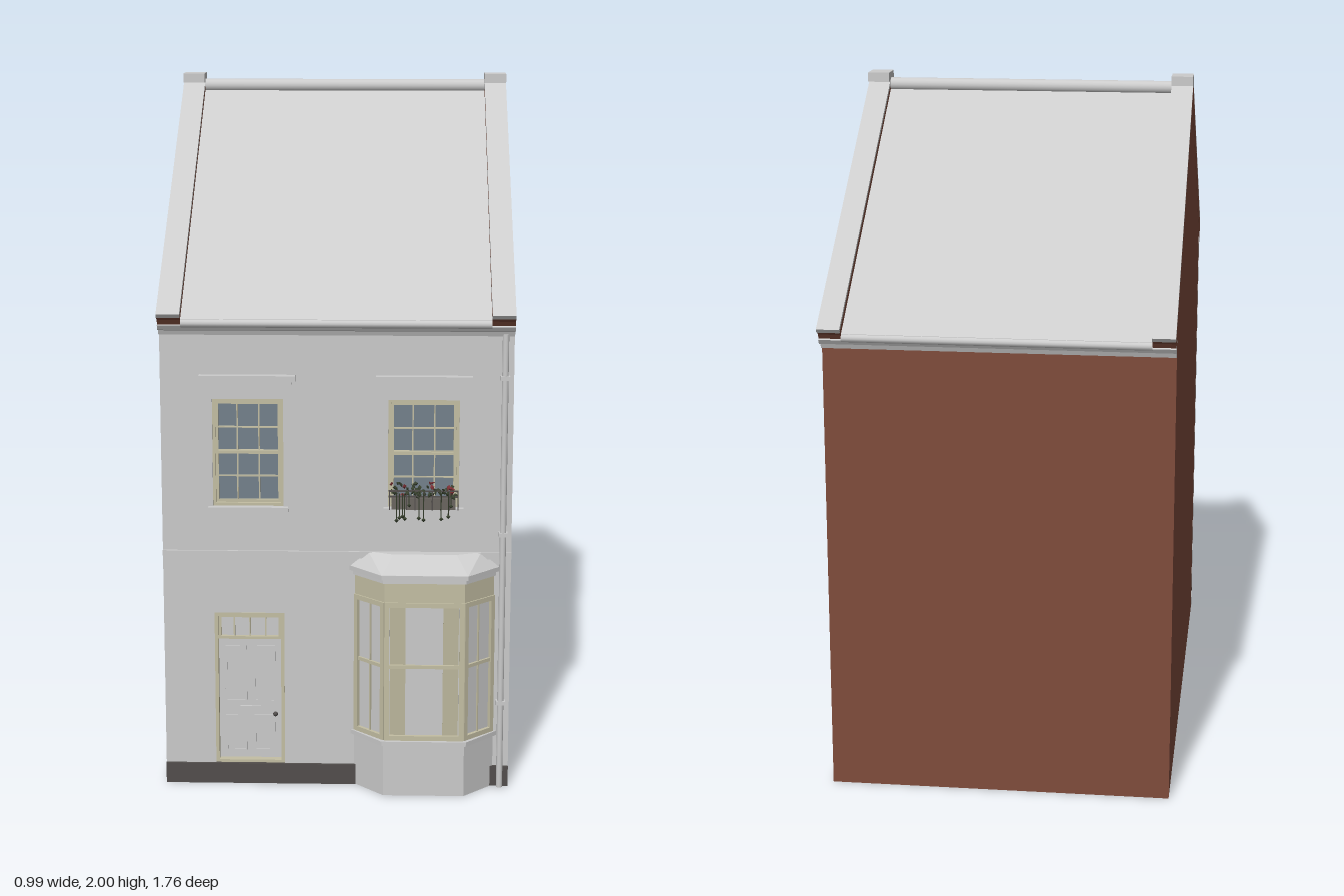
import * as THREE from 'three';
import { ConvexGeometry } from 'three/addons/geometries/ConvexGeometry.js';

const GREY = 0xcccccc, BRICK = 0x7f4c3c, CREAM = 0xc4bfa4, GLASS = 0x74818c, DARK = 0x524e4c;
const MID = -0.0125, FRONT = 0.78, BACK = -0.805, W = 0.495, INNER = 0.43;

const materials = {};
const mat = (color) => (materials[color] ??= new THREE.MeshStandardMaterial({ color, side: THREE.DoubleSide }));

function add(parent, name, geo, color = GREY) {
  const m = new THREE.Mesh(geo, mat(color));
  m.name = name;
  parent.add(m);
  return m;
}
function box(parent, name, color, x0, x1, y0, y1, z0, z1) {
  const m = add(parent, name, new THREE.BoxGeometry(x1 - x0, y1 - y0, z1 - z0), color);
  m.position.set((x0 + x1) / 2, (y0 + y1) / 2, (z0 + z1) / 2);
  return m;
}
const shapeOf = (pts) => new THREE.Shape(pts.map(([a, b]) => new THREE.Vector2(a, b)));
const rect = (Kind, x0, x1, y0, y1) =>
  new Kind([[x0, y0], [x1, y0], [x1, y1], [x0, y1]].map(([a, b]) => new THREE.Vector2(a, b)));
// (z, y) profile swept along x
function alongX(pts, x0, x1) {
  const g = new THREE.ExtrudeGeometry(shapeOf(pts), { depth: x1 - x0, bevelEnabled: false });
  return g.rotateY(-Math.PI / 2).translate(x1, 0, 0);
}
// (x, z) plan raised along y
function raised(plan, y0, y1) {
  const g = new THREE.ExtrudeGeometry(shapeOf(plan.map(([x, z]) => [x, -z])), { depth: y1 - y0, bevelEnabled: false });
  return g.rotateX(-Math.PI / 2).translate(0, y0, 0);
}
const flip = (pts) => pts.map(([z, y]) => [2 * MID - z, y]);
// front half of a profile plus its mirror image about the ridge
const symmetric = (pts) => [...pts, ...flip(pts).reverse()];

function walls(g) {
  // front wall with openings for the door and upper windows
  const wall = rect(THREE.Shape, -W, W, 0, 1.36);
  for (const [x0, x1, y0, y1] of [[-0.35, -0.15, 0.83, 1.14], [0.145, 0.345, 0.83, 1.14], [-0.35, -0.15, 0.06, 0.515]])
    wall.holes.push(rect(THREE.Path, x0, x1, y0, y1));
  add(g, 'frontWall', new THREE.ExtrudeGeometry(wall, { depth: 0.03, bevelEnabled: false }).translate(0, 0, FRONT - 0.03));
  add(g, 'backWall', new THREE.PlaneGeometry(2 * W, 1.36).rotateY(Math.PI).translate(0, 0.68, BACK), BRICK);
  const gable = shapeOf([[FRONT, 0], [FRONT, 1.37], [MID, 1.93], [BACK, 1.37], [BACK, 0]]);
  for (const s of [-1, 1])
    add(g, 'gableWall', new THREE.ShapeGeometry(gable).rotateY(-Math.PI / 2).translate(s * (W - 0.0005), 0, 0), BRICK);
  box(g, 'stringCourse', GREY, -W, W, 0.68, 0.7, FRONT, FRONT + 0.006);
  box(g, 'plinth', DARK, -W, 0.055, 0, 0.06, FRONT, FRONT + 0.008);
  box(g, 'plinthEnd', DARK, 0.435, W, 0, 0.06, FRONT, FRONT + 0.008);
}

function roof(g) {
  const slab = [[0.83, 1.375], [MID, 1.957], [2 * MID - 0.83, 1.375], [2 * MID - 0.83, 1.36], [MID, 1.94], [0.83, 1.36]];
  add(g, 'roofSlopes', alongX(slab, -INNER, INNER));
  const ridge = add(g, 'ridgeTile', new THREE.CylinderGeometry(0.02, 0.02, 2 * INNER, 16).rotateZ(Math.PI / 2));
  ridge.position.set(0, 1.962, MID);
  // brick parapets, coping and cap stones
  const parapet = symmetric([[MID + 0.001, 1.9], [FRONT, 1.345], [0.815, 1.35], [0.83, 1.372], [0.847, 1.385], [MID + 0.001, 1.975]]
    .reverse()).slice();
  const coping = [[0.855, 1.392], [MID, 1.986], [2 * MID - 0.855, 1.392], [2 * MID - 0.847, 1.381], [MID, 1.973], [0.847, 1.381]];
  for (const x0 of [-W, INNER]) {
    const x1 = x0 + W - INNER;
    add(g, 'parapet', alongX(parapet, x0, x1), BRICK);
    add(g, 'coping', alongX(coping, x0, x1));
    box(g, 'capStone', GREY, x0, x1, 1.972, 2, MID - 0.04, MID + 0.04);
  }
  // cornices and gutters at both eaves
  const cornice = [[FRONT, 1.325], [0.795, 1.325], [0.8, 1.338], [0.82, 1.343], [0.828, 1.356], [FRONT, 1.372]];
  for (const side of [cornice, flip(cornice)]) add(g, 'cornice', alongX(side, -W, W));
  for (const z of [0.825, 2 * MID - 0.825]) {
    const gutter = add(g, 'gutter', new THREE.CylinderGeometry(0.012, 0.012, 2 * INNER, 12).rotateZ(Math.PI / 2));
    gutter.position.set(0, 1.363, z);
  }
}

// frame around a rectangle, with evenly spaced glazing bars
function frame(p, name, x0, x1, y0, y1, z, t, cols = 1, rows = 1, depth = 0.012, color = CREAM) {
  box(p, name, color, x0, x0 + t, y0, y1, z, z + depth);
  box(p, name, color, x1 - t, x1, y0, y1, z, z + depth);
  box(p, name, color, x0 + t, x1 - t, y0, y0 + t, z, z + depth);
  box(p, name, color, x0 + t, x1 - t, y1 - t, y1, z, z + depth);
  const b = 0.002;
  for (let i = 1; i < cols; i++) {
    const x = x0 + ((x1 - x0) * i) / cols;
    box(p, 'glazingBar', color, x - b, x + b, y0 + t, y1 - t, z, z + depth * 0.6);
  }
  for (let i = 1; i < rows; i++) {
    const y = y0 + ((y1 - y0) * i) / rows;
    box(p, 'glazingBar', color, x0 + t, x1 - t, y - b, y + b, z, z + depth * 0.6);
  }
}

function upperWindow(cx) {
  const g = new THREE.Group();
  g.name = 'sashWindow';
  box(g, 'glass', GLASS, -0.1, 0.1, 0.83, 1.14, 0.752, 0.756);
  frame(g, 'windowFrame', -0.1, 0.1, 0.83, 1.14, 0.756, 0.008, 1, 1, 0.018);
  frame(g, 'upperSash', -0.092, 0.092, 0.98, 1.132, 0.758, 0.008, 3, 2);
  frame(g, 'lowerSash', -0.092, 0.092, 0.838, 0.99, 0.756, 0.008, 3, 2, 0.008);
  box(g, 'windowSill', GREY, -0.113, 0.113, 0.814, 0.83, 0.755, 0.796);
  box(g, 'hood', GREY, -0.135, 0.135, 1.193, 1.21, FRONT, 0.802);
  box(g, 'hoodMoulding', GREY, -0.125, 0.125, 1.183, 1.193, FRONT, 0.792);
  for (const s of [-1, 1]) box(g, 'hoodBracket', GREY, s * 0.117 - 0.006, s * 0.117 + 0.006, 1.16, 1.183, FRONT, 0.79);
  g.position.x = cx;
  return g;
}

function flowerBox() {
  const g = new THREE.Group();
  g.name = 'flowerBox';
  box(g, 'trough', 0x6a6660, -0.09, 0.09, 0.835, 0.868, 0.795, 0.825);
  for (const y of [0.872, 0.888]) box(g, 'rail', DARK, -0.098, 0.098, y, y + 0.004, 0.826, 0.83);
  for (let i = 0; i < 9; i++) box(g, 'railBar', DARK, -0.097 + i * 0.024, -0.094 + i * 0.024, 0.835, 0.89, 0.826, 0.83);
  // foliage, blossoms and trailing stems
  let seed = 7;
  const rnd = () => (seed = (seed * 16807) % 2147483647) / 2147483647;
  const leaf = new THREE.OctahedronGeometry(0.009), stem = new THREE.CylinderGeometry(0.0015, 0.0015, 1, 5);
  for (let i = 0; i < 60; i++) {
    const m = add(g, i % 4 ? 'leaf' : 'blossom', leaf, i % 4 ? 0x39422f : 0x7c2f33);
    m.position.set((rnd() - 0.5) * 0.18, 0.872 + rnd() * 0.036, 0.795 + rnd() * 0.045);
    m.rotation.set(rnd() * 3, rnd() * 3, rnd() * 3);
    m.scale.set(1, 0.4, 0.7);
  }
  for (let i = 0; i < 10; i++) {
    const len = 0.03 + rnd() * 0.05, x = (rnd() - 0.5) * 0.17;
    const m = add(g, 'trailingStem', stem, 0x39422f);
    m.scale.y = len;
    m.position.set(x, 0.885 - len / 2, 0.836);
    const l = add(g, 'trailingLeaf', leaf, 0x39422f);
    l.scale.set(0.7, 0.7, 0.5);
    l.position.set(x, 0.885 - len, 0.837);
  }
  g.position.x = 0.245;
  return g;
}

function door() {
  const g = new THREE.Group();
  g.name = 'frontDoor';
  box(g, 'doorLeaf', GREY, -0.09, 0.09, 0.06, 0.43, 0.752, 0.76);
  box(g, 'fanlightPane', GREY, -0.09, 0.09, 0.43, 0.51, 0.752, 0.756);
  frame(g, 'doorFrame', -0.1, 0.1, 0.06, 0.515, 0.754, 0.01, 1, 1, 0.028);
  frame(g, 'fanlight', -0.09, 0.09, 0.432, 0.505, 0.756, 0.008, 4);
  for (const x of [-0.072, 0.01]) for (const [y0, y1] of [[0.09, 0.2], [0.24, 0.41]])
    frame(g, 'doorPanel', x, x + 0.062, y0, y1, 0.76, 0.005, 1, 1, 0.003, GREY);
  box(g, 'letterPlate', GREY, -0.03, 0.03, 0.215, 0.228, 0.76, 0.766);
  add(g, 'doorKnob', new THREE.SphereGeometry(0.007, 12, 8), DARK).position.set(0.072, 0.205, 0.767);
  box(g, 'doorStep', DARK, -0.1, 0.1, 0.03, 0.062, 0.75, FRONT + 0.012);
  g.position.x = -0.25;
  return g;
}

function bayWindow() {
  const g = new THREE.Group();
  g.name = 'bayWindow';
  // plan grown outwards by o
  const plan = (o) => [[-0.2 - o, FRONT], [-0.115 - o * 0.5, 0.867 + o], [0.115 + o * 0.5, 0.867 + o], [0.2 + o, FRONT]];
  add(g, 'bayBase', raised(plan(0), 0, 0.155));
  add(g, 'baySill', raised(plan(0.01), 0.153, 0.166));
  add(g, 'bayGlass', raised(plan(-0.01), 0.166, 0.64));
  add(g, 'bayFascia', raised(plan(0.003), 0.632, 0.645));
  add(g, 'bayCornice', raised(plan(0.013), 0.645, 0.658));
  const top = [[-0.16, FRONT], [-0.09, 0.81], [0.09, 0.81], [0.16, FRONT]];
  add(g, 'bayRoof', new ConvexGeometry([
    ...plan(0.012).map(([x, z]) => new THREE.Vector3(x, 0.657, z)),
    ...top.map(([x, z]) => new THREE.Vector3(x, 0.7, z))]));
  // glazed faces: centre x, centre z, half width, turn
  for (const [x, z, h, turn] of [[0, 0.867, 0.113, 0], [-0.1575, 0.8235, 0.06, -0.774], [0.1575, 0.8235, 0.06, 0.774]]) {
    const f = new THREE.Group();
    f.name = 'bayFace';
    frame(f, 'bayFrame', -h, h, 0.166, 0.575, -0.012, 0.014, turn ? 2 : 1, 1, 0.013);
    box(f, 'meetingRail', CREAM, -h + 0.014, h - 0.014, 0.38, 0.39, -0.012, -0.002);
    box(f, 'transomPanel', CREAM, -h, h, 0.575, 0.634, -0.012, -0.003);
    if (!turn) for (const s of [-1, 1])
      box(f, 'curtain', 0xbcb79c, s * 0.075 - 0.022, s * 0.075 + 0.022, 0.18, 0.56, -0.012, -0.009);
    f.position.set(x, 0, z);
    f.rotation.y = turn;
    g.add(f);
  }
  g.position.x = 0.25;
  return g;
}

export function createModel() {
  const g = new THREE.Group();
  g.name = 'terracedHouse';
  walls(g);
  roof(g);
  g.add(upperWindow(-0.25), upperWindow(0.245), flowerBox(), door(), bayWindow());
  // downpipe with brackets
  add(g, 'downpipe', new THREE.CylinderGeometry(0.009, 0.009, 1.33, 12)).position.set(0.47, 0.665, 0.792);
  for (const y of [0.25, 0.75, 1.2]) box(g, 'pipeBracket', GREY, 0.457, 0.483, y, y + 0.012, FRONT, 0.802);
  return g;
}
